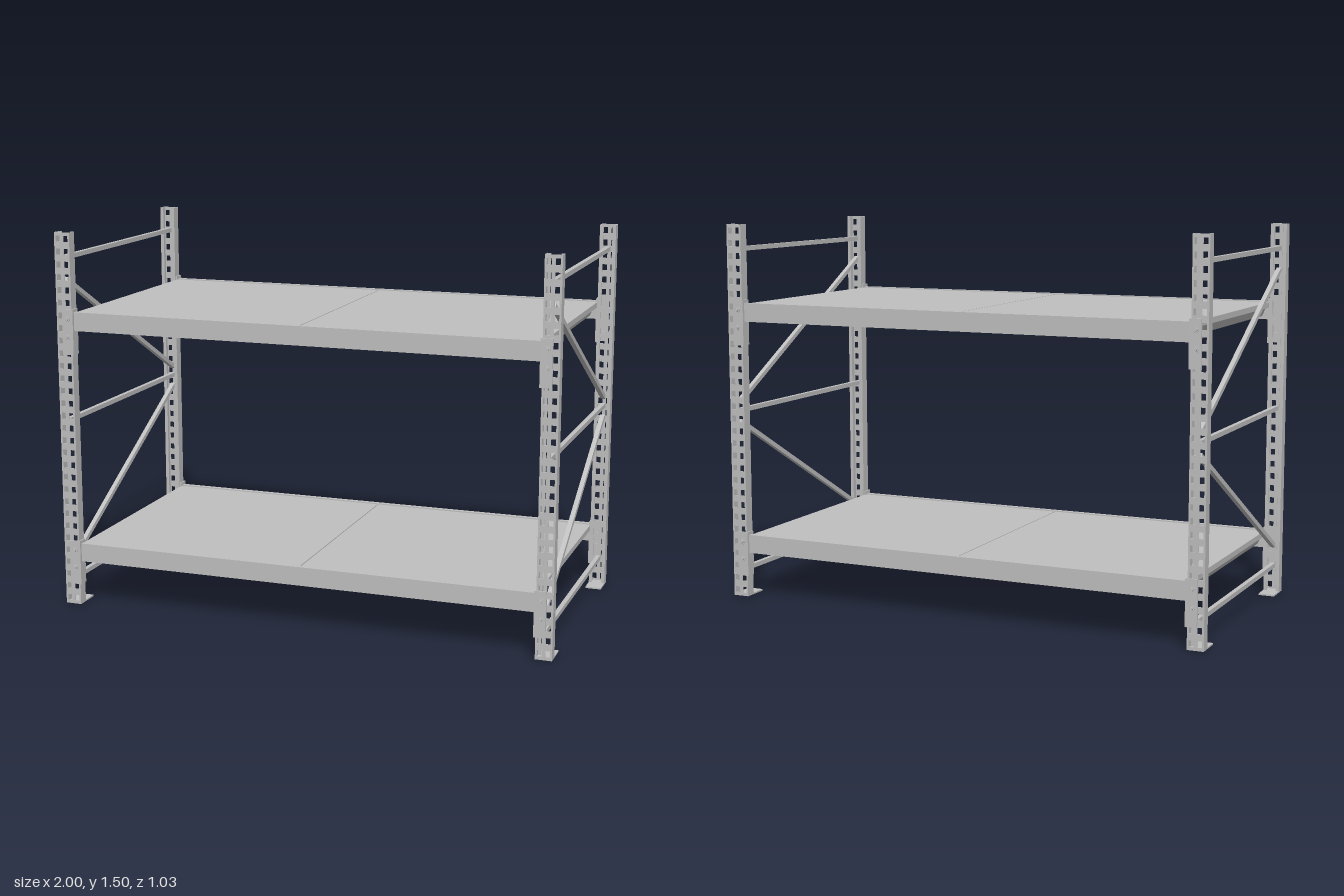
import * as THREE from 'three';

const steel = new THREE.MeshStandardMaterial({ color: 0xbfbfbf });
steel.name = 'galvanised steel grey';

const POST_X = 0.9675, POST_W = 0.065, HEIGHT = 1.5;
const WALL = 0.004;
const SIDES = [-1, 1];

function add(parent, name, geometry, x = 0, y = 0, z = 0) {
  const mesh = new THREE.Mesh(geometry, steel);
  mesh.name = name;
  mesh.position.set(x, y, z);
  parent.add(mesh);
  return mesh;
}

// Box given by its two extents on each axis
function slab(parent, name, x0, x1, y0, y1, z0, z1) {
  const g = new THREE.BoxGeometry(Math.abs(x1 - x0), y1 - y0, Math.abs(z1 - z0));
  return add(parent, name, g, (x0 + x1) / 2, (y0 + y1) / 2, (z0 + z1) / 2);
}

// Upright face with two columns of punched slots
function perforatedFace() {
  const w = POST_W / 2;
  const shape = new THREE.Shape();
  shape.moveTo(-w, 0).lineTo(w, 0).lineTo(w, HEIGHT).lineTo(-w, HEIGHT).closePath();
  for (let i = 0; i < 30; i++) {
    const y = 0.025 + i * 0.05;
    for (const s of SIDES) {
      const x = s * 0.016, a = 0.009, b = 0.012;
      const hole = new THREE.Path();
      hole.moveTo(x - a, y - b).lineTo(x - a, y + b).lineTo(x + a, y + b).lineTo(x + a, y - b).closePath();
      shape.holes.push(hole);
    }
  }
  return new THREE.ExtrudeGeometry(shape, { depth: WALL, bevelEnabled: false });
}

// Channel upright with its foot plate, outer face towards +z
function makePost(faceGeometry) {
  const post = new THREE.Group();
  post.name = 'upright';
  const w = POST_W / 2;
  add(post, 'perforatedFace', faceGeometry, 0, 0, 0.498 - WALL);
  for (const s of SIDES) {
    slab(post, 'uprightFlange', s * (w - WALL), s * w, 0, HEIGHT, 0.457, 0.498 - WALL);
    slab(post, 'uprightLip', s * (w - 0.014), s * (w - WALL), 0, HEIGHT, 0.457, 0.457 + WALL);
  }
  slab(post, 'footPlate', -w, w, 0, 0.006, 0.39, 0.498);
  return post;
}

// Square bar in the side frame between two (z, y) points
function brace(parent, name, x, z0, y0, z1, y1) {
  const bar = add(parent, name,
    new THREE.BoxGeometry(0.018, 0.018, Math.hypot(z1 - z0, y1 - y0)),
    x, (y0 + y1) / 2, (z0 + z1) / 2);
  bar.rotation.x = -Math.atan2(y1 - y0, z1 - z0);
}

// Deck panel: flat top with trapezoid ribs underneath, running front to back
function deckPanel(width) {
  const ribs = 9, pitch = width / ribs, depth = 0.036, top = 0.022;
  const shape = new THREE.Shape();
  shape.moveTo(0, top).lineTo(0, 0);
  for (let i = 0; i < ribs; i++) {
    for (const [u, y] of [[0.14, 0], [0.3, -depth], [0.7, -depth], [0.86, 0]]) {
      shape.lineTo((i + u) * pitch, y);
    }
  }
  shape.lineTo(width, 0).lineTo(width, top).closePath();
  return new THREE.ExtrudeGeometry(shape, { depth: 0.945, bevelEnabled: false });
}

// Connector plate hooked on an upright, with two bolts
function connector(parent, sx, sz, top) {
  const group = new THREE.Group();
  group.name = 'beamConnector';
  parent.add(group);
  const y0 = top - 0.168, y1 = top + 0.012;
  slab(group, 'connectorFace', sx * 0.928, sx * 0.974, y0, y1, sz * 0.498, sz * 0.504);
  slab(group, 'connectorReturn', sx * 0.928, sx * 0.934, y0, y1, sz * 0.462, sz * 0.5);
  for (const dy of [0.027, 0.097]) {
    const washer = add(group, 'washer', new THREE.CylinderGeometry(0.012, 0.012, 0.003, 16), sx * 0.953, top - dy, sz * 0.505);
    const bolt = add(group, 'boltHead', new THREE.CylinderGeometry(0.008, 0.008, 0.012, 6), sx * 0.953, top - dy, sz * 0.509);
    washer.rotation.x = bolt.rotation.x = Math.PI / 2;
  }
}

// One shelf level: two beams, four connectors and two deck panels
function makeShelf(top, panel) {
  const shelf = new THREE.Group();
  shelf.name = 'shelf';
  for (const sz of SIDES) {
    slab(shelf, 'beam', -0.93, 0.93, top - 0.074, top, sz * 0.474, sz * 0.493);
    for (const sx of SIDES) connector(shelf, sx, sz, top);
  }
  add(shelf, 'deckPanel', panel, -0.932, top - 0.026, -0.4725);
  add(shelf, 'deckPanel', panel, 0.002, top - 0.026, -0.4725);
  return shelf;
}

export function createModel() {
  const model = new THREE.Group();
  model.name = 'palletRack';

  // Side frames
  const face = perforatedFace();
  for (const sx of SIDES) {
    const frame = new THREE.Group();
    frame.name = sx > 0 ? 'leftFrame' : 'rightFrame';
    for (const turn of [0, Math.PI]) {
      const post = makePost(face);
      post.position.x = sx * POST_X;
      post.rotation.y = turn;
      frame.add(post);
    }
    const x = sx * 0.966;
    for (const y of [0.108, 0.758, 1.402]) brace(frame, 'horizontalBrace', x, -0.485, y, 0.485, y);
    brace(frame, 'upperDiagonalBrace', x, -0.48, 0.795, 0.48, 1.317);
    brace(frame, 'lowerDiagonalBrace', x, -0.48, 0.713, 0.48, 0.191);
    model.add(frame);
  }

  // Shelves
  const panel = deckPanel(0.93);
  for (const top of [0.254, 1.19]) model.add(makeShelf(top, panel));
  return model;
}
